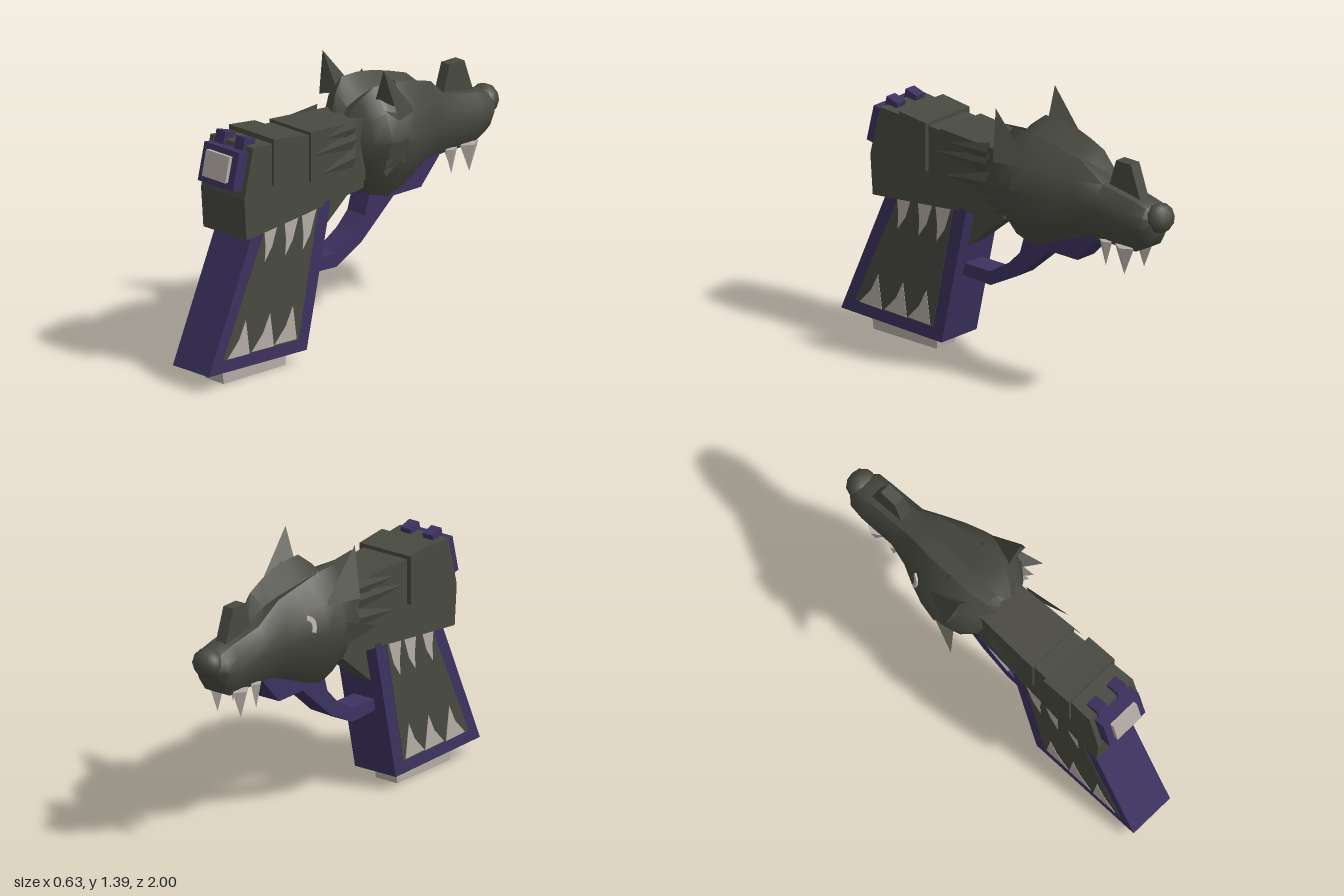
import * as THREE from 'three';
import { toCreasedNormals } from 'three/addons/utils/BufferGeometryUtils.js';

const material = (name, color, side = THREE.FrontSide) => {
  const m = new THREE.MeshStandardMaterial({ color, side });
  m.name = name;
  return m;
};

export function createModel() {
  const model = new THREE.Group();
  model.name = 'wolfHeadPistol';
  const grey = material('charcoal', 0x484940, THREE.DoubleSide);
  const purple = material('deepPurple', 0x3d3260);
  const pale = material('bone', 0xb4aca6);

  const add = (name, geometry, mat, x = 0, y = 0, z = 0) => {
    const mesh = new THREE.Mesh(geometry, mat);
    mesh.name = name;
    mesh.position.set(x, y, z);
    model.add(mesh);
    return mesh;
  };

  // Side outline of [z, y] points, extruded across x; width may vary with z
  const slab = (points, half, taper) => {
    const shape = new THREE.Shape(points.map(([z, y]) => new THREE.Vector2(z, y)));
    const g = new THREE.ExtrudeGeometry(shape, { depth: half * 2, bevelEnabled: false });
    g.translate(0, 0, -half).rotateY(-Math.PI / 2);
    if (taper) {
      const p = g.attributes.position;
      for (let i = 0; i < p.count; i++) p.setX(i, Math.sign(p.getX(i)) * taper(p.getZ(i)));
      g.computeVertexNormals();
    }
    return g;
  };

  // Faceted solid from corner points and triangles; s mirrors it across x
  const facets = (points, faces, s) => {
    const g = new THREE.BufferGeometry().setFromPoints(
      faces.flat().map((i) => new THREE.Vector3(points[i][0] * s, points[i][1], points[i][2])));
    g.computeVertexNormals();
    return g;
  };
  // Fur spike: three base corners and a tip
  const spike = (a, b, c, tip, s) =>
    facets([a, b, c, tip], [[0, 1, 3], [1, 2, 3], [2, 0, 3]], s);

  // Grip and magazine
  add('grip', slab([[0.71, 0.74], [1, 0.085], [0.355, 0.07], [0.195, 0.79]], 0.124), purple);
  add('magazine', slab([[0.86, 0.1], [0.845, 0], [0.44, 0], [0.43, 0.1]], 0.065), pale);
  const panel = [[0.63, 0.745], [0.91, 0.145], [0.41, 0.135], [0.28, 0.77]];
  const upperTeeth = [0.64, 0.505, 0.39];
  const lowerTeeth = [0.88, 0.72, 0.57];
  for (const s of [-1, 1]) {
    add('gripPanel', slab(panel, 0.002), grey, s * 0.1245);
    for (const z of upperTeeth)
      add('gripTooth', slab([[z, 0.755], [z - 0.01, 0.66], [z - 0.005, 0.58], [z - 0.055, 0.65], [z - 0.095, 0.765]], 0.002), pale, s * 0.1265);
    for (const z of lowerTeeth)
      add('gripTooth', slab([[z, 0.147], [z - 0.075, 0.225], [z - 0.12, 0.315], [z - 0.13, 0.25], [z - 0.145, 0.142]], 0.002), pale, s * 0.1265);
  }

  // Trigger, trigger guard and underside of the frame
  add('trigger', slab([[0.22, 0.8], [0.24, 0.58], [-0.03, 0.8]], 0.06), grey);
  add('triggerGuard', slab([
    [0.3, 0.48], [0.1, 0.48], [-0.02, 0.555], [-0.09, 0.625], [-0.115, 0.71], [-0.15, 0.82],
    [-0.58, 0.83], [-0.58, 0.81], [-0.46, 0.68], [-0.28, 0.68], [-0.065, 0.495], [0.1, 0.41], [0.3, 0.42],
  ], 0.06), purple);

  // Slide with two raised sleeves
  add('slide', slab([[0.73, 1.18], [0.79, 0.93], [0.775, 0.725], [-0.03, 0.79], [-0.03, 1.12]], 0.14,
    (z) => 0.113 + 0.046 * z), grey);
  add('rearSleeve', slab([[0.6, 1.195], [0.6, 0.96], [0.43, 0.93], [0.43, 1.175]], 0.155), grey);
  add('frontSleeve', slab([[0.345, 1.165], [0.345, 0.915], [-0.03, 0.83], [-0.03, 1.14]], 0.14,
    (z) => 0.127 + 0.042 * z), grey);

  // Rear plate and sights
  add('rearPlate', slab([[0.795, 1.165], [0.735, 1.155], [0.775, 0.97], [0.84, 0.98]], 0.12), purple);
  add('rearInset', slab([[0.823, 1.14], [0.78, 1.135], [0.81, 1.01], [0.852, 1.015]], 0.08), pale);
  for (const x of [-0.07, 0.065])
    add('rearSight', slab([[0.735, 1.22], [0.665, 1.2], [0.675, 1.15], [0.75, 1.15]], 0.03), purple, x);
  add('frontSight', slab([[-0.68, 1.235], [-0.775, 1.235], [-0.845, 1.04], [-0.63, 1.08]], 0.03), grey);

  // Head cross-sections: z, ridge y, centre y, cheek y, jaw y, half width, ridge x
  const sections = [
    [0.035, 1.12, 1.1, 1.05, 0.95, 0.08, 0.04],
    [-0.03, 1.22, 1.17, 1.02, 0.83, 0.18, 0.08],
    [-0.1, 1.28, 1.2, 1.03, 0.735, 0.24, 0.11],
    [-0.2, 1.28, 1.2, 1.03, 0.71, 0.262, 0.11],
    [-0.3, 1.265, 1.19, 1.02, 0.735, 0.24, 0.11],
    [-0.4, 1.24, 1.18, 1.01, 0.775, 0.2, 0.1],
    [-0.5, 1.21, 1.16, 1, 0.81, 0.15, 0.085],
    [-0.62, 1.105, 1.11, 0.98, 0.81, 0.115, 0.06],
    [-0.82, 1.07, 1.08, 0.95, 0.81, 0.112, 0.06],
    [-0.9, 1.05, 1.06, 0.96, 0.85, 0.105, 0.06],
    [-0.94, 1.02, 1.02, 0.97, 0.92, 0.07, 0.04],
  ];
  const lerp = THREE.MathUtils.lerp;
  const verts = [];
  const index = [];
  const n = 12;
  for (const [z, ridge, centre, mid, jaw, w, rx] of sections) {
    const half = [[rx, ridge], [(rx + w) / 2 + 0.02 * (w / 0.2), lerp(mid, ridge, 0.55)], [w, mid],
      [w * 0.75, lerp(mid, jaw, 0.6)], [w * 0.4, jaw]];
    const ring = [[0, centre], ...half, [0, jaw], ...half.slice().reverse().map(([x, y]) => [-x, y])];
    for (const [x, y] of ring) verts.push(x, y, z);
  }
  const last = (sections.length - 1) * n;
  for (let i = 0; i < last; i += n)
    for (let j = 0; j < n; j++) {
      const k = (j + 1) % n;
      index.push(i + j, i + k, i + n + j, i + k, i + n + k, i + n + j);
    }
  for (let j = 1; j < n - 1; j++) index.push(0, j + 1, j, last, last + j, last + j + 1);
  const head = new THREE.BufferGeometry();
  head.setAttribute('position', new THREE.Float32BufferAttribute(verts, 3));
  head.setIndex(index);
  add('head', toCreasedNormals(head, 0.75), grey);

  // Nose
  const nose = add('nose', new THREE.IcosahedronGeometry(1, 1), grey, 0, 0.998, -0.935);
  nose.scale.set(0.078, 0.076, 0.066);

  for (const s of [-1, 1]) {
    // Hollow ear: tip, outer, inner, back, hollow
    add('ear', facets([[0.21, 1.395, -0.07], [0.275, 1.15, -0.11], [0.125, 1.2, -0.09], [0.2, 1.14, -0.29], [0.2, 1.19, -0.17]],
      [[0, 1, 3], [0, 3, 2], [0, 4, 1], [0, 2, 4], [1, 3, 2]], s), grey);
    add('browTuft', spike([0.08, 1.2, -0.24], [0.17, 1.17, -0.24], [0.13, 1.15, -0.34], [0.11, 1.29, -0.23], s), grey);
    // Cheek and neck fur
    add('cheekFur', spike([0.255, 1.05, -0.2], [0.22, 0.9, -0.2], [0.2, 0.98, -0.12], [0.315, 1, -0.03], s), grey);
    for (const [y, tipY, tipZ, tipX] of [[1.12, 1.13, 0.27, 0.178], [1.06, 1.06, 0.37, 0.172], [0.97, 0.95, 0.31, 0.168]])
      add('neckFur', spike([0.13, y + 0.05, 0.04], [0.13, y - 0.05, 0.06], [0.145, y, 0.05], [tipX, tipY, tipZ], s), grey);
    // Fangs
    for (const [z, r, tipY, tipZ] of [[-0.655, 0.04, 0.705, -0.645], [-0.778, 0.06, 0.69, -0.76]]) {
      const fang = new THREE.ConeGeometry(r, 0.83 - tipY, 4).rotateX(Math.PI).toNonIndexed();
      fang.computeVertexNormals();
      const mesh = add('fang', fang, pale, s * 0.07, (0.83 + tipY) / 2, (z + tipZ) / 2);
      mesh.scale.x = 0.6;
    }
  }
  // Extra cheek spikes on the left side
  add('cheekFur', spike([0.235, 0.99, -0.18], [0.2, 0.88, -0.18], [0.19, 0.93, -0.1], [0.262, 0.925, -0.04], 1), grey);
  add('cheekFur', spike([0.22, 0.94, -0.2], [0.17, 0.85, -0.2], [0.17, 0.88, -0.1], [0.245, 0.875, -0.055], 1), grey);

  // Crescent eye on the right side
  const crescent = new THREE.Shape();
  crescent.moveTo(-0.025, 0.045);
  crescent.quadraticCurveTo(0.04, 0.03, 0.015, -0.045);
  crescent.lineTo(-0.005, -0.04);
  crescent.quadraticCurveTo(0.01, 0.01, -0.025, 0.02);
  const eye = add('eye', new THREE.ExtrudeGeometry(crescent, { depth: 0.009, bevelEnabled: false }), pale, -0.193, 1.08, -0.38);
  eye.lookAt(-1.193, 1.35, -0.83);

  return model;
}
